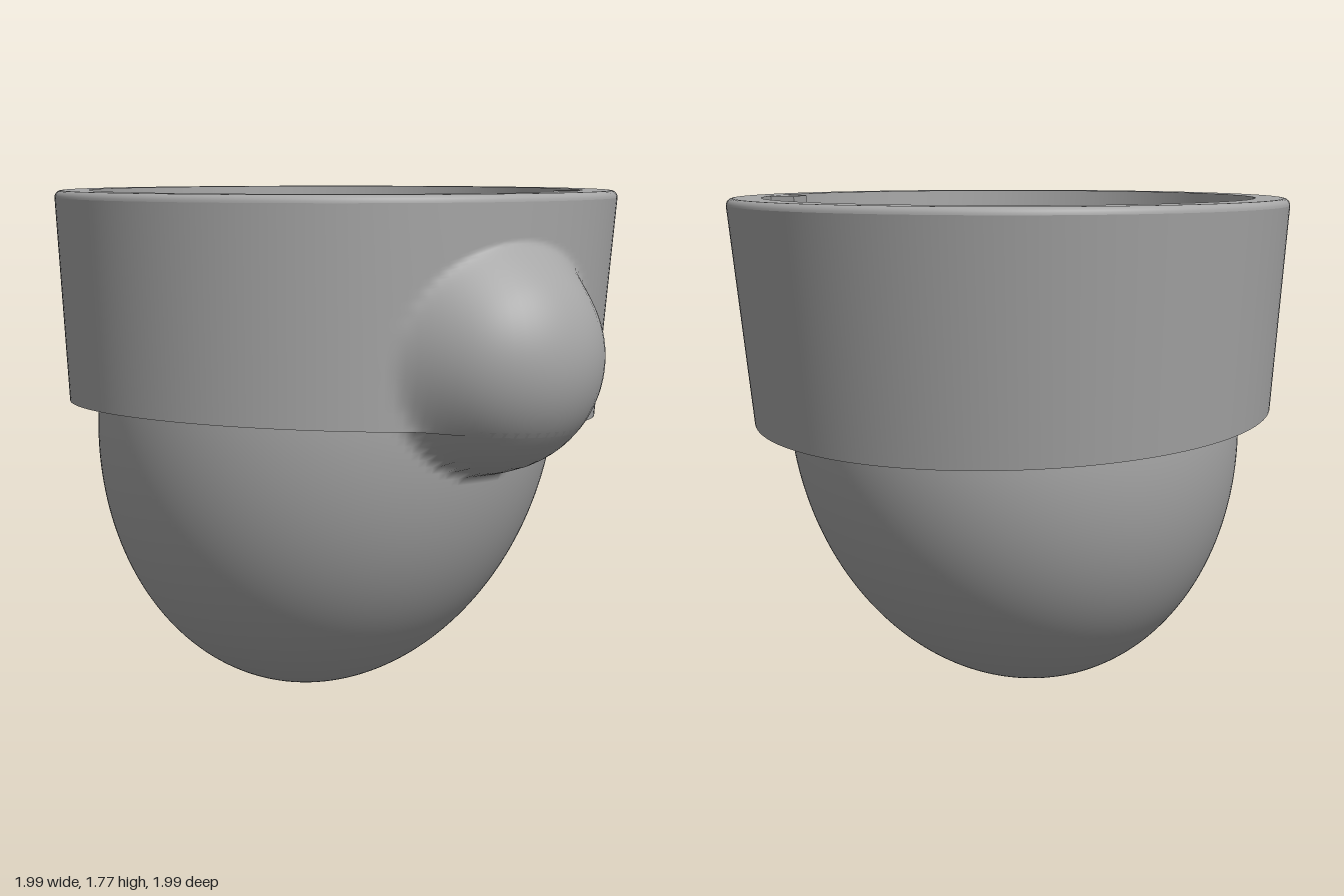
import * as THREE from 'three';

const SEG = 192;
const lerp = THREE.MathUtils.lerp;
const grey = new THREE.MeshStandardMaterial({ color: 0xa6a6a6 });
grey.name = 'plain grey';

// Skin a stack of rings; point(v, angle) gives a position for v in 0..1.
function surface(name, rows, point) {
  const pos = [], index = [];
  for (let i = 0; i <= rows; i++) {
    for (let j = 0; j < SEG; j++) pos.push(...point(i / rows, (j / SEG) * Math.PI * 2));
  }
  for (let i = 0; i < rows; i++) {
    for (let j = 0; j < SEG; j++) {
      const a = i * SEG + j, b = i * SEG + ((j + 1) % SEG);
      index.push(a, a + SEG, b, b, a + SEG, b + SEG);
    }
  }
  const geo = new THREE.BufferGeometry();
  geo.setAttribute('position', new THREE.Float32BufferAttribute(pos, 3));
  geo.setIndex(index);
  geo.computeVertexNormals();
  const mesh = new THREE.Mesh(geo, grey);
  mesh.name = name;
  return mesh;
}

// Push a point outward onto a ball at the front corner, with a soft blend.
function bulge([x, y, z], radius, blend) {
  const r = Math.hypot(x, z);
  if (r < 0.05) return [x, y, z];
  const cx = 0.62, cy = 1.25, cz = 0.55;
  const b = (x * cx + z * cz) / r;
  const disc = b * b - cx * cx - cz * cz + radius * radius - (y - cy) ** 2;
  const hit = b <= 0 ? -1 : b + Math.sign(disc) * Math.sqrt(Math.abs(disc));
  const h = Math.max(blend - Math.abs(r - hit), 0);
  const s = (Math.max(r, hit) + (h * h) / (4 * blend)) / r;
  return [x * s, y, z * s];
}
const outer = (p) => bulge(p, 0.375, 0.12);
const inner = (p) => bulge(p, 0.3, 0.05);

// Leaning bowl: the tip sits off centre and the rim is tilted
function bowl(v, a, gap) {
  const phi = (v * Math.PI) / 2, up = 1 - Math.cos(phi);
  const x = lerp(-0.09, -0.02, up) + (0.81 - gap) * Math.sin(phi) * Math.cos(a);
  const z = lerp(0.09, 0.055, up) + (0.905 - gap) * Math.sin(phi) * Math.sin(a);
  return [x, gap + (1.01 + 0.062 * Math.sin(a) - gap) * up, z];
}

// Collar wall: round top, slightly shifted and tilted lower edge
function collarWall(v, a) {
  const x0 = -0.008 + 0.937 * Math.cos(a), z0 = 0.05 + 0.932 * Math.sin(a);
  const y0 = 1.0 + 0.062 * z0 - 0.015 * x0;
  return [
    lerp(x0, -0.007 + 0.993 * Math.cos(a), v),
    lerp(y0, 1.745, v),
    lerp(z0, -0.005 + 0.993 * Math.sin(a), v),
  ];
}

const mix = (p, q, t) => p.map((n, i) => lerp(n, q[i], t));
const ring = (r, y, a) => [-0.007 + r * Math.cos(a), y, r * Math.sin(a)];

// Circular band through a short [radius, height] profile
function band(name, profile) {
  const n = profile.length - 1;
  return surface(name, n, (v, a) => ring(...profile[Math.round(v * n)], a));
}

export function createModel() {
  const model = new THREE.Group();
  model.name = 'bowlWithCollar';

  // Outside
  model.add(
    surface('outerBowl', 72, (v, a) => outer(bowl(v, a, 0))),
    surface('collarUnderside', 4, (v, a) => outer(mix(bowl(1, a, 0), collarWall(0, a), v))),
    surface('collar', 72, (v, a) => outer(collarWall(v, a)))
  );

  // Rounded rim, bore and stepped ledge
  model.add(
    surface('rimEdge', 6, (v, a) => {
      const t = (v * Math.PI) / 2, r = 0.968 + 0.025 * Math.cos(t);
      return [-0.007 + r * Math.cos(a), 1.745 + 0.025 * Math.sin(t), -0.005 + r * Math.sin(a)];
    }),
    surface('rimTop', 1, (v, a) => {
      const r = lerp(0.968, 0.872, v);
      return [-0.007 + r * Math.cos(a), 1.77, lerp(-0.005, 0, v) + r * Math.sin(a)];
    }),
    band('bore', [[0.872, 1.77], [0.866, 1.52]]),
    band('step', [[0.866, 1.52], [0.845, 1.52]]),
    band('stepWall', [[0.845, 1.52], [0.845, 1.46]]),
    band('ledge', [[0.845, 1.46], [0.735, 1.46]]),
    band('lip', [[0.735, 1.46], [0.735, 1.42]])
  );

  // Cavity, hollowed out behind the bulge
  const lip = (a) => ring(0.735, 1.42, a);
  model.add(
    surface('lipUnderside', 3, (v, a) => mix(lip(a), inner(lip(a)), v)),
    surface('cavityWall', 36, (v, a) => inner(mix(lip(a), bowl(1, a, 0.08), v))),
    surface('cavityBowl', 60, (v, a) => inner(bowl(1 - v, a, 0.08)))
  );

  // Locating key on the bore wall
  const key = new THREE.Mesh(new THREE.BoxGeometry(0.13, 0.309, 0.13), grey);
  key.name = 'locatingKey';
  key.position.set(0.835, 1.6145, -0.035);
  model.add(key);

  return model;
}
